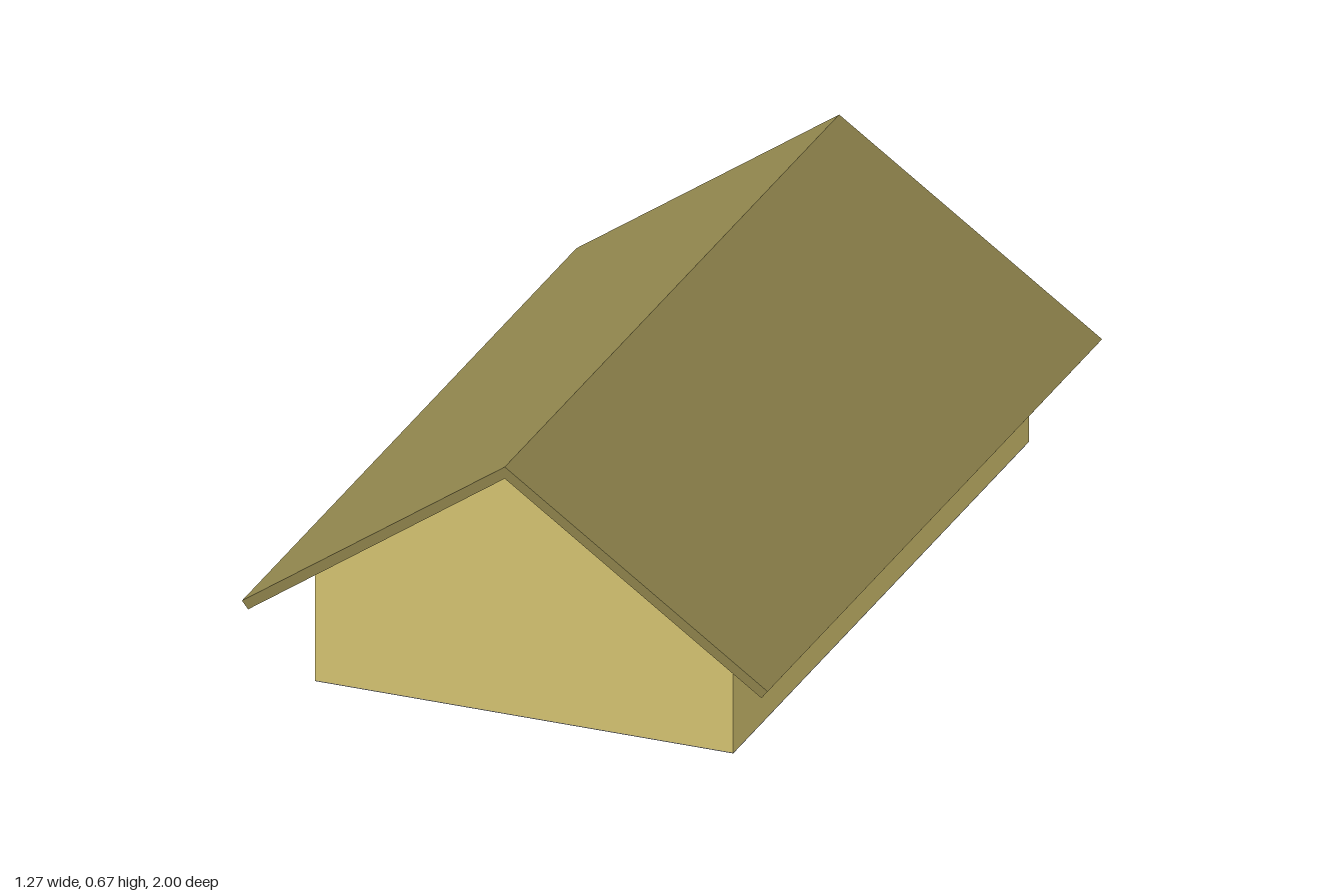
import * as THREE from 'three';

// Extrudes an outline along z, centred on z = 0
function prism(name, points, depth, color) {
  const shape = new THREE.Shape(points.map(([x, y]) => new THREE.Vector2(x, y)));
  const geometry = new THREE.ExtrudeGeometry(shape, { depth, bevelEnabled: false });
  geometry.translate(0, 0, -depth / 2);
  const mesh = new THREE.Mesh(geometry, new THREE.MeshStandardMaterial({ color }));
  mesh.name = name;
  return mesh;
}

export function createModel() {
  const group = new THREE.Group();
  group.name = 'gableBuilding';

  const floorY = 0.002, halfWidth = 0.507, eaveY = 0.288, ridgeY = 0.643;

  // Walls with gable ends
  group.add(prism('walls', [
    [-halfWidth, floorY], [halfWidth, floorY], [halfWidth, eaveY], [0, ridgeY], [-halfWidth, eaveY],
  ], 1.77, 0xd8c672));

  // Thin dark floor slab
  const floor = new THREE.Mesh(
    new THREE.BoxGeometry(halfWidth * 2, floorY, 1.77),
    new THREE.MeshStandardMaterial({ color: 0x777777 }),
  );
  floor.position.y = floorY / 2;
  floor.name = 'floor';
  group.add(floor);

  // Overhanging gable roof, mitred at the ridge
  group.add(prism('roof', [
    [0, ridgeY], [0.622, 0.208], [0.637, 0.227], [0, 0.672], [-0.637, 0.227], [-0.622, 0.208],
  ], 2, 0x8f844c));

  return group;
}
